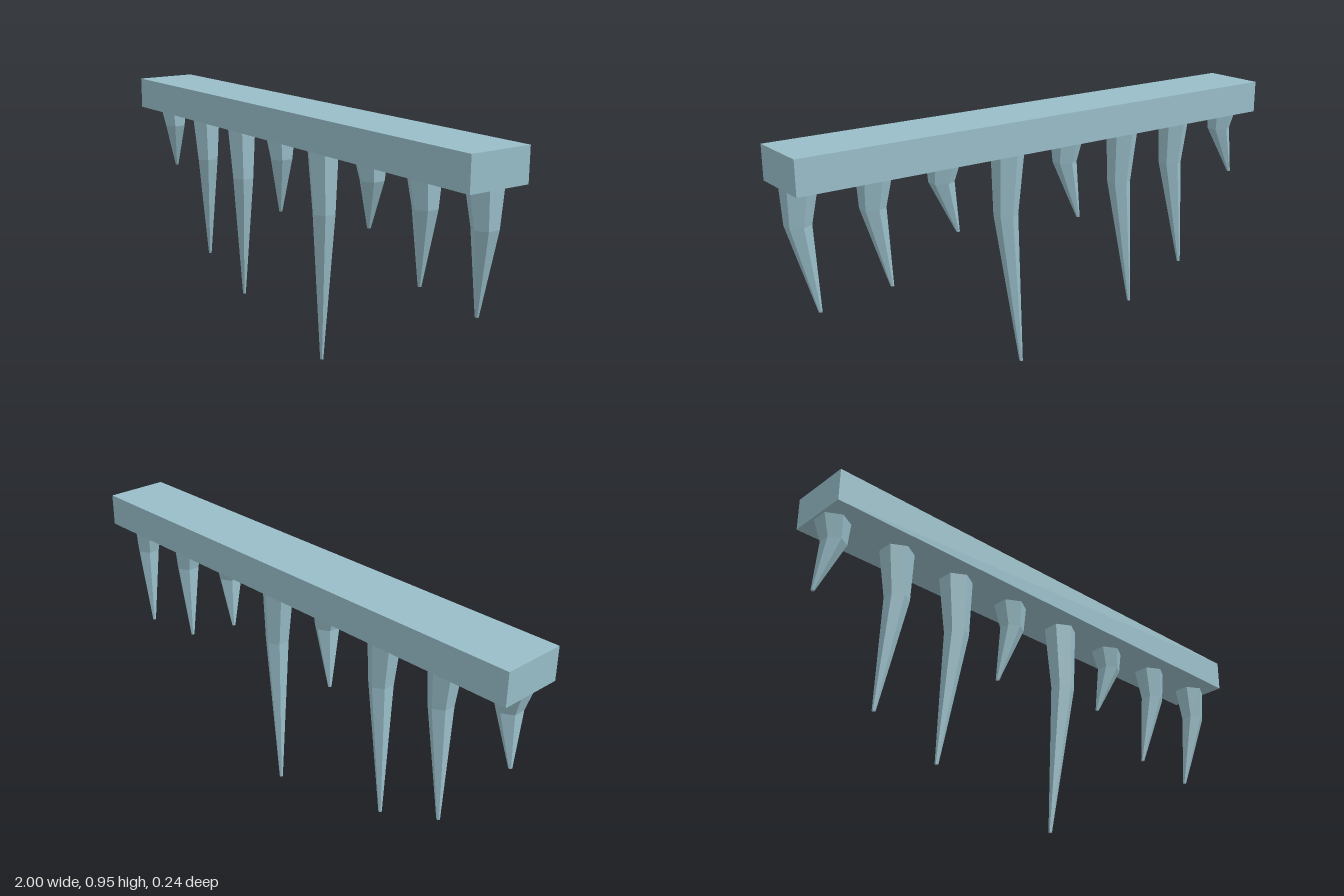
import * as THREE from 'three';

const ice = new THREE.MeshStandardMaterial({ color: 0x98bdc8 });
ice.name = 'paleIce';

const TOP = 0.83; // underside of the beam

// Six-sided icicle lofted through three rings: root, bend and tip.
function icicleGeometry(length) {
  const rings = [
    { y: 0, r: 0.0615, x: 0, z: 0 },
    { y: -0.3 * length, r: 0.045, x: 0.01, z: 0.001 },
    { y: -length, r: 0.0065, x: -0.035, z: -0.026 },
  ];
  const corner = (ring, i) => {
    const a = (i / 6) * Math.PI * 2;
    return [ring.x + Math.sin(a) * ring.r, ring.y, ring.z + Math.cos(a) * ring.r];
  };
  const pos = [];
  for (let i = 0; i < 6; i++) {
    for (let k = 0; k < 2; k++) {
      const a = corner(rings[k], i), b = corner(rings[k], i + 1);
      const c = corner(rings[k + 1], i), d = corner(rings[k + 1], i + 1);
      pos.push(...a, ...c, ...b, ...b, ...c, ...d);
    }
    // end caps
    const [root, , tip] = rings;
    pos.push(root.x, root.y, root.z, ...corner(root, i), ...corner(root, i + 1));
    pos.push(tip.x, tip.y, tip.z, ...corner(tip, i + 1), ...corner(tip, i));
  }
  const geo = new THREE.BufferGeometry();
  geo.setAttribute('position', new THREE.Float32BufferAttribute(pos, 3));
  geo.computeVertexNormals(); // unshared corners give flat facets
  return geo;
}

export function createModel() {
  const model = new THREE.Group();
  model.name = 'icicleRow';

  // Beam the icicles hang from
  const beam = new THREE.Mesh(new THREE.BoxGeometry(2, 0.12, 0.24), ice);
  beam.name = 'beam';
  beam.position.y = TOP + 0.06;
  model.add(beam);

  // Evenly spaced icicles, given by the height of each tip
  const tips = [0.565, 0.225, 0.115, 0.52, 0, 0.57, 0.43, 0.402];
  tips.forEach((tip, i) => {
    const icicle = new THREE.Mesh(icicleGeometry(TOP - tip), ice);
    icicle.name = `icicle${i + 1}`;
    icicle.position.set((i - 3.5) * 0.268, TOP, 0);
    model.add(icicle);
  });
  return model;
}
